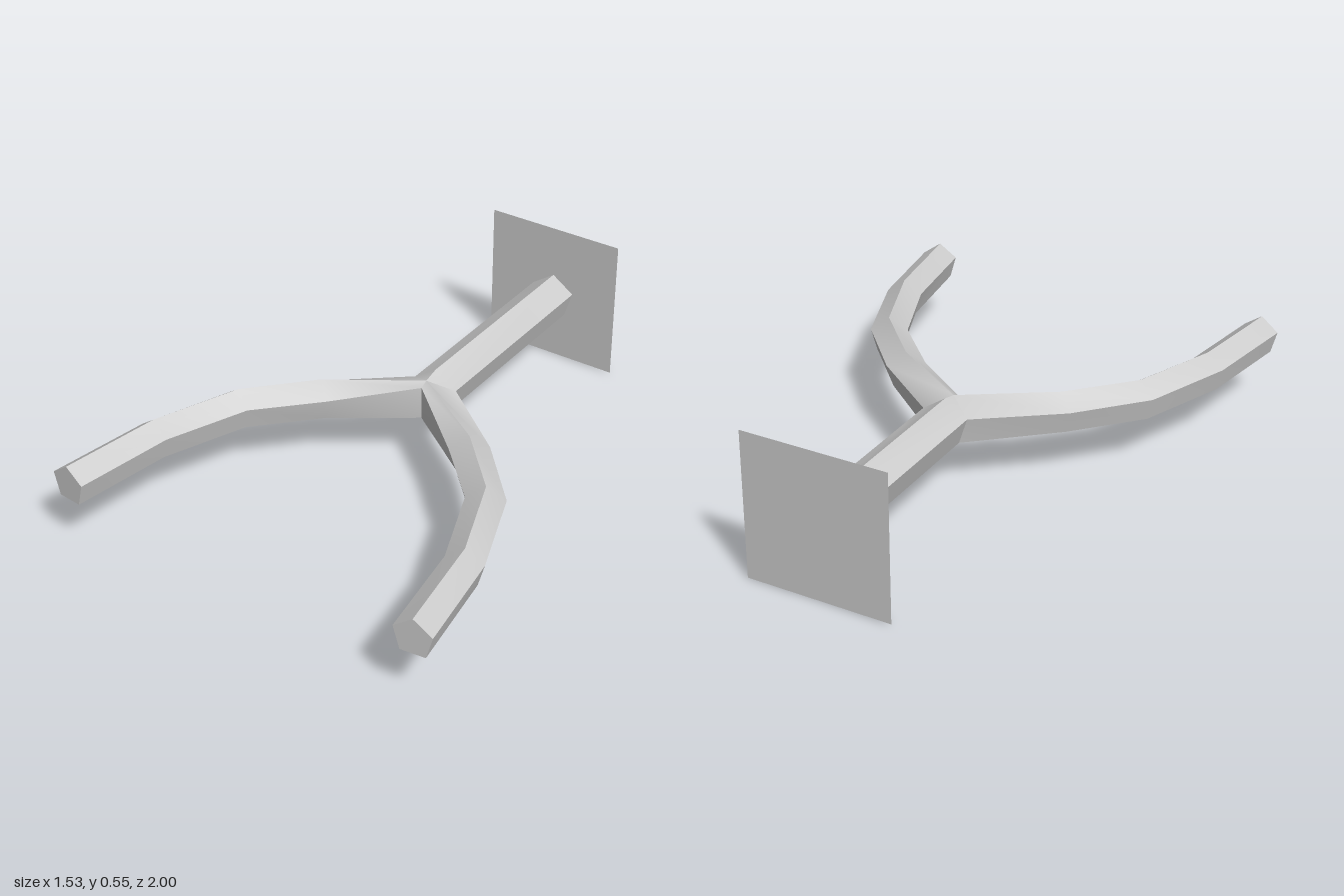
import * as THREE from 'three';
import { toCreasedNormals } from 'three/addons/utils/BufferGeometryUtils.js';

// Five-sided prong section: ridge, outer side, outer bottom, inner bottom, inner side
function prongRing([ox, oz, ix, iz]) {
  const at = (t, y) => [ix + (ox - ix) * t, y, iz + (oz - iz) * t];
  return [at(0.5, 0.335), at(1, 0.285), at(0.83, 0.2), at(0.17, 0.2), at(0, 0.285)];
}

// Half of the stem section, from the ridge round to the underside
const stemHalf = (z) => [[0, 0.35, z], [0.087, 0.29, z], [0.055, 0.19, z], [0, 0.19, z]];

function forkGeometry() {
  const positions = [];
  // Every triangle is laid on both sides of x = 0
  const tri = (a, b, c) => {
    positions.push(...a, ...b, ...c);
    for (const p of [a, c, b]) positions.push(-p[0], p[1], p[2]);
  };
  const bridge = (r, s, closed) => {
    const n = r.length;
    for (let k = 0; k < (closed ? n : n - 1); k++) {
      const j = (k + 1) % n;
      tri(r[k], s[k], s[j]);
      tri(r[k], s[j], r[j]);
    }
  };

  // Straight stem
  const joint = stemHalf(-0.18);
  bridge(stemHalf(-1), joint, false);

  // Fork joint, where the two prongs meet on the centre line
  const apex = [0, 0.335, -0.12];
  const crotchBottom = [0, 0.193, -0.09];
  const crotchTop = [0, 0.32, -0.09];
  tri(joint[0], apex, joint[1]);
  tri(joint[3], joint[2], crotchBottom);

  // Curved prong: outer x, z and inner x, z at each bend
  const rings = [
    [apex, joint[1], joint[2], crotchBottom, crotchTop],
    ...[
      [0.37, 0.04, 0.26, 0.13],
      [0.58, 0.27, 0.455, 0.33],
      [0.705, 0.6, 0.573, 0.63],
      [0.765, 0.985, 0.628, 1.0],
    ].map(prongRing),
  ];
  for (let i = 0; i < rings.length - 1; i++) bridge(rings[i], rings[i + 1], true);

  // Flat prong tip
  const tip = rings[rings.length - 1];
  for (let k = 1; k < 4; k++) tri(tip[0], tip[k + 1], tip[k]);

  const geometry = new THREE.BufferGeometry();
  geometry.setAttribute('position', new THREE.Float32BufferAttribute(positions, 3));
  return toCreasedNormals(geometry, 0.65);
}

export function createModel() {
  const group = new THREE.Group();
  group.name = 'forkedWallHook';
  const material = new THREE.MeshStandardMaterial({ color: 0xcccccc, side: THREE.DoubleSide });

  // Thin square wall plate
  const plate = new THREE.Mesh(new THREE.PlaneGeometry(0.546, 0.55), material);
  plate.name = 'wallPlate';
  plate.position.set(-0.002, 0.275, -1);
  group.add(plate);

  // Stem and both prongs
  const fork = new THREE.Mesh(forkGeometry(), material);
  fork.name = 'stemAndProngs';
  group.add(fork);
  return group;
}
